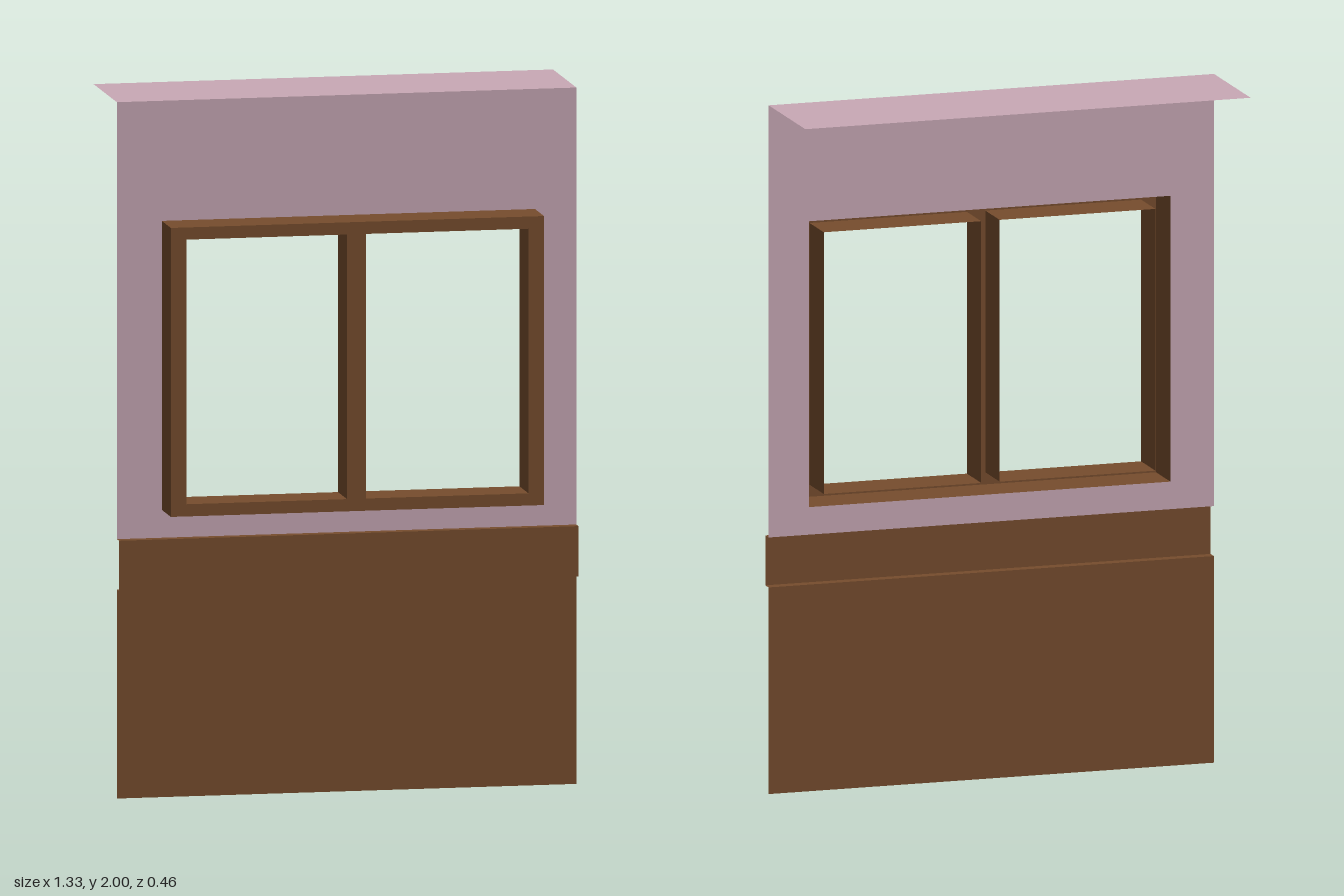
import * as THREE from 'three';

const WALL_Z = 0.1, RAIL_Z = 0.13, FRAME_Z = 0.23, BACK_Z = -0.233;
const HALF = 0.665;
const RAIL_LOW = 0.6, RAIL_TOP = 0.745, TOP = 2;
const OUTER = [-0.535, 0.545, 0.825, 1.655];
const PANES = [[-0.49, -0.025, 0.86, 1.62], [0.03, 0.5, 0.86, 1.62]];

const points = ([x0, x1, y0, y1]) =>
  [[x0, y0], [x1, y0], [x1, y1], [x0, y1]].map(p => new THREE.Vector2(...p));

export function createModel() {
  const model = new THREE.Group();
  const pink = new THREE.MeshStandardMaterial({ color: 0xc9a9b6, side: THREE.DoubleSide });
  pink.name = 'pinkPaint';
  const brown = new THREE.MeshStandardMaterial({ color: 0x774d2d, side: THREE.DoubleSide });
  brown.name = 'brownWood';

  const add = (name, geometry, material, parent = model) => {
    const mesh = new THREE.Mesh(geometry, material);
    mesh.name = name;
    parent.add(mesh);
    return mesh;
  };
  // Upright sheet facing +z, with optional rectangular holes
  const upright = (name, rect, z, material, holes = [], parent = model) => {
    const shape = new THREE.Shape(points(rect));
    shape.holes = holes.map(h => new THREE.Path(points(h).reverse()));
    add(name, new THREE.ShapeGeometry(shape), material, parent).position.z = z;
  };
  // Level sheet, facing up or down
  const level = (name, x0, x1, y, z0, z1, material, up = true, parent = model) => {
    const g = new THREE.PlaneGeometry(x1 - x0, z1 - z0).rotateX(up ? -Math.PI / 2 : Math.PI / 2);
    add(name, g, material, parent).position.set((x0 + x1) / 2, y, (z0 + z1) / 2);
  };
  // Four sheets running from the wall to the window front, facing out or in
  const sleeve = (name, [x0, x1, y0, y1], outward, parent) => {
    level(name + 'Top', x0, x1, y1, WALL_Z, FRAME_Z, brown, outward, parent);
    level(name + 'Bottom', x0, x1, y0, WALL_Z, FRAME_Z, brown, !outward, parent);
    for (const [x, sign, side] of [[x0, -1, 'Right'], [x1, 1, 'Left']]) {
      const turn = (outward ? sign : -sign) * Math.PI / 2;
      const g = new THREE.PlaneGeometry(FRAME_Z - WALL_Z, y1 - y0).rotateY(turn);
      add(name + side, g, brown, parent).position.set(x, (y0 + y1) / 2, (WALL_Z + FRAME_Z) / 2);
    }
  };

  // Wall sheets and ceiling
  upright('upperWall', [-HALF, HALF, RAIL_TOP, TOP], WALL_Z, pink, [OUTER]);
  upright('lowerWall', [-HALF, HALF, 0, RAIL_LOW], WALL_Z, brown);
  level('ceiling', -HALF, HALF, TOP, BACK_Z, WALL_Z, pink);

  // Projecting rail, open at the back and ends
  const rail = new THREE.Group();
  rail.name = 'wallRail';
  model.add(rail);
  upright('railFront', [-HALF, HALF, RAIL_LOW, RAIL_TOP], RAIL_Z, brown, [], rail);
  level('railTop', -HALF, HALF, RAIL_TOP, WALL_Z, RAIL_Z, brown, true, rail);
  level('railUnderside', -HALF, HALF, RAIL_LOW, WALL_Z, RAIL_Z, brown, false, rail);

  // Window frame with two openings, hollow at the back
  const frame = new THREE.Group();
  frame.name = 'windowFrame';
  model.add(frame);
  upright('frameFront', OUTER, FRAME_Z, brown, PANES, frame);
  sleeve('frameOuter', OUTER, true, frame);
  PANES.forEach((pane, i) => sleeve(i ? 'leftOpening' : 'rightOpening', pane, false, frame));

  return model;
}
